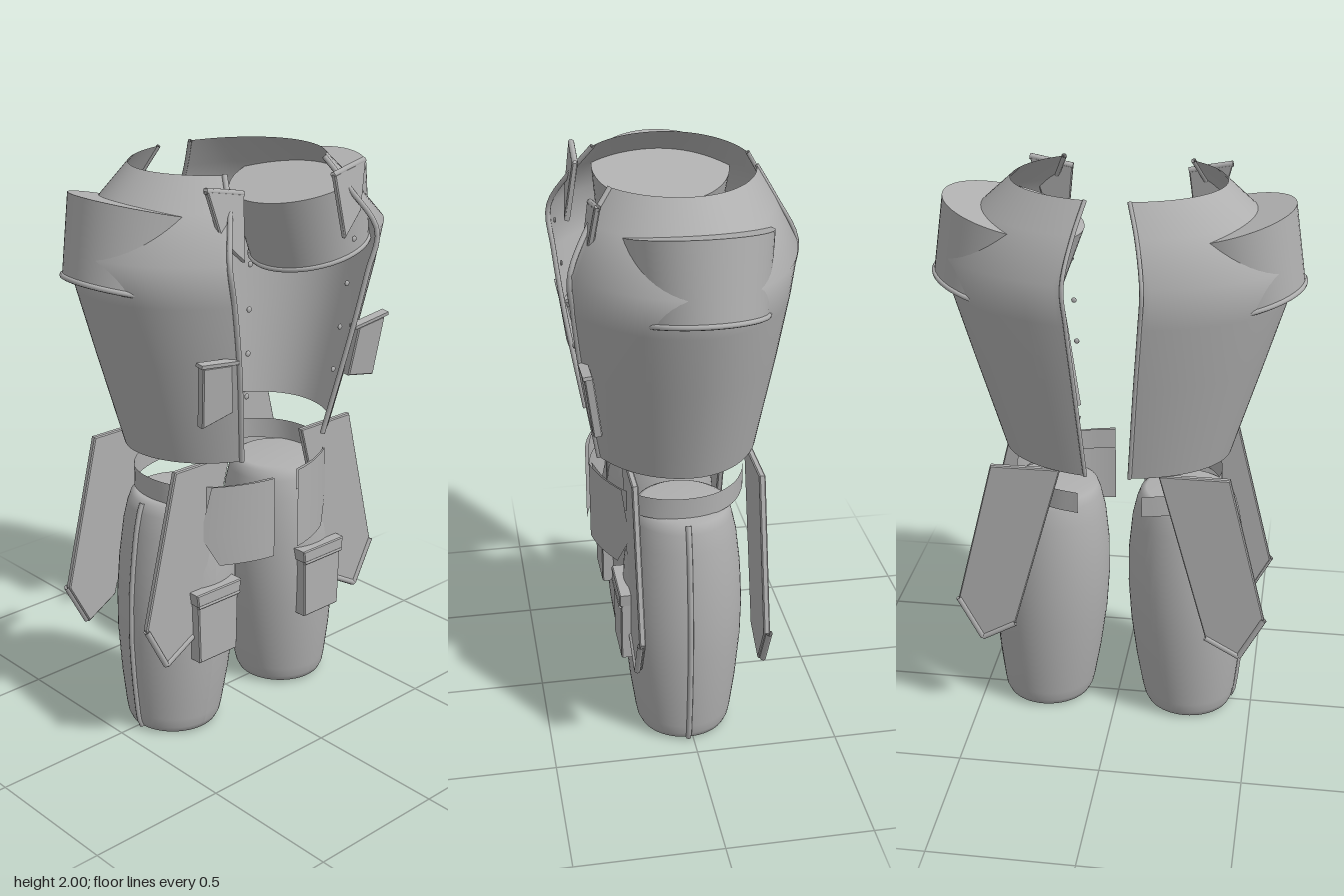
import * as THREE from 'three';

const V = (x, y, z) => new THREE.Vector3(x, y, z);

export function createModel() {
  const cloth = new THREE.MeshStandardMaterial({ color: 0xb0b0b0, side: THREE.DoubleSide });
  cloth.name = 'plain grey cloth';

  const half = new THREE.Group();
  const add = (name, geo, parent = half) => {
    const m = new THREE.Mesh(geo, cloth);
    m.name = name;
    parent.add(m);
    return m;
  };

  // Smooth surface from a grid of points: columns run back to front, rows run upward
  const sheet = (cols, rows, at) => {
    const pos = [], idx = [];
    for (let j = 0; j <= rows; j++)
      for (let i = 0; i <= cols; i++) pos.push(...at(i / cols, j).toArray());
    for (let j = 0; j < rows; j++)
      for (let i = 0; i < cols; i++) {
        const a = j * (cols + 1) + i, c = a + cols + 1;
        idx.push(a, c, a + 1, a + 1, c, c + 1);
      }
    const g = new THREE.BufferGeometry();
    g.setAttribute('position', new THREE.Float32BufferAttribute(pos, 3));
    g.setIndex(idx);
    g.computeVertexNormals();
    return g;
  };

  // Flat plate cut from an outline in x, y
  const plate = (name, outline, depth, z, parent) => {
    const shape = new THREE.Shape(outline.map(([x, y]) => new THREE.Vector2(x, y)));
    const m = add(name, new THREE.ExtrudeGeometry(shape, {
      depth, bevelThickness: 0.004, bevelSize: 0.004, bevelOffset: -0.004, bevelSegments: 1,
    }), parent);
    m.position.z = z;
    return m;
  };

  // Rounded piping through a list of points
  const piping = (name, pts, r, parent) =>
    add(name, new THREE.TubeGeometry(
      pts.length > 2 ? new THREE.CatmullRomCurve3(pts) : new THREE.LineCurve3(...pts),
      pts.length > 2 ? 32 : 1, r, 8), parent);

  // Jacket side: height, half width, back depth, front depth, back edge x, front edge x
  const rings = [
    [1.05, 0.395, 0.282, 0.327, 0.075, 0.19],
    [1.4, 0.502, 0.345, 0.4, 0.1, 0.255],
    [1.62, 0.568, 0.38, 0.436, 0.117, 0.3],
    [1.76, 0.6, 0.396, 0.455, 0.125, 0.33],
    [1.9, 0.465, 0.325, 0.375, 0.1, 0.265],
    [2.0, 0.355, 0.265, 0.3, 0.07, 0.22],
  ];
  const onJacket = (u, j) => {
    const [y, rx, back, front, xb, xf] = rings[j];
    const t = THREE.MathUtils.lerp(-Math.acos(xb / rx), Math.acos(xf / rx), u);
    return V(rx * Math.cos(t), y, (t < 0 ? back : front) * Math.sin(t));
  };
  add('jacketSide', sheet(48, rings.length - 1, onJacket));
  piping('jacketFrontEdge', rings.map((_, j) => onJacket(1, j)), 0.009);
  piping('jacketBackEdge', rings.map((_, j) => onJacket(0, j)), 0.007);

  // Short sleeve, a tilted tapered drum through the shoulder
  const sleeve = new THREE.Group();
  sleeve.name = 'sleeve';
  sleeve.position.set(0.38, 1.755, -0.015);
  sleeve.rotation.z = 0.25;
  half.add(sleeve);
  add('sleeveDrum', new THREE.CylinderGeometry(0.24, 0.213, 0.265, 56), sleeve);
  const hem = add('sleeveHem', new THREE.TorusGeometry(0.213, 0.009, 8, 56), sleeve);
  hem.rotation.x = Math.PI / 2;
  hem.position.y = -0.13;

  // Buttons down the front
  for (let i = 0; i < 4; i++) {
    const b = add('button', new THREE.SphereGeometry(0.01, 12, 8));
    b.scale.z = 0.5;
    b.position.set(0.2 + i * 0.011, 1.29 + i * 0.152, 0.32 + i * 0.016);
  }

  // Collar lapel
  const lapel = new THREE.Group();
  lapel.name = 'collarLapel';
  lapel.position.set(0, 1.86, 0.31);
  lapel.rotation.x = -0.15;
  half.add(lapel);
  plate('lapelPlate', [[0.225, -0.12], [0.31, -0.04], [0.35, 0.12], [0.2, 0.09]], 0.012, -0.006, lapel);
  piping('lapelEdge', [V(0.2, 0.09, 0), V(0.35, 0.12, 0)], 0.011, lapel);

  // Chest pocket with its flap
  const chest = new THREE.Group();
  chest.name = 'chestPocket';
  chest.position.set(0, 1.34, 0.315);
  chest.rotation.x = 0.13;
  half.add(chest);
  plate('chestPocketBody', [[0.268, -0.085], [0.395, -0.11], [0.415, 0.105], [0.29, 0.09]], 0.022, 0, chest);
  const chestFlap = add('chestPocketFlap', new THREE.BoxGeometry(0.16, 0.012, 0.03), chest);
  chestFlap.position.set(0.347, 0.104, 0.015);
  chestFlap.rotation.z = 0.13;

  // Trouser leg
  const legProfile = [[0, 0.005], [0.13, 0.005], [0.155, 0.014], [0.165, 0.035], [0.172, 0.07], [0.19, 0.2],
    [0.205, 0.36], [0.209, 0.5], [0.203, 0.64], [0.188, 0.77], [0.172, 0.84], [0.16, 0.872], [0.14, 0.883], [0, 0.883]];
  const leg = add('trouserLeg', new THREE.LatheGeometry(legProfile.map(p => new THREE.Vector2(...p)), 56));
  const lean = y => 0.266 - 0.028 * Math.min(1, y / 0.7);
  const lp = leg.geometry.attributes.position;
  for (let i = 0; i < lp.count; i++) lp.setX(i, lp.getX(i) + lean(lp.getY(i)));
  leg.geometry.computeVertexNormals();
  leg.position.z = 0.012;
  piping('legSideSeam', legProfile.slice(2, -2).map(([r, y]) => V(r + lean(y), y, 0.018)), 0.01);

  // Leg pocket with its flap
  const pocket = new THREE.Group();
  pocket.name = 'legPocket';
  half.add(pocket);
  plate('legPocketBody', [[0.168, 0.325], [0.338, 0.325], [0.345, 0.575], [0.162, 0.575]], 0.06, 0.178, pocket);
  plate('legPocketFlap', [[0.158, 0.545], [0.348, 0.545], [0.354, 0.59], [0.152, 0.59]], 0.066, 0.178, pocket);
  piping('legPocketLip', [V(0.16, 0.543, 0.243), V(0.347, 0.543, 0.243)], 0.007, pocket);

  // Hip belt, wrapping from back to front
  const hip = new THREE.CatmullRomCurve3([
    [0.11, -0.228], [0.19, -0.207], [0.28, -0.16], [0.345, -0.08], [0.365, 0.02], [0.345, 0.12],
    [0.275, 0.21], [0.17, 0.268], [0.055, 0.297],
  ].map(([x, z]) => V(x, 0, z)));
  add('hipBelt', sheet(40, 1, (u, j) => hip.getPointAt(u).setY(j ? 0.957 : 0.88)));

  // Curved front flap hanging from the belt
  const flapRows = [[0.667, 0.245], [0.78, 0.3], [0.957, 0.268]];
  add('frontHipFlap', sheet(16, 2, (u, j) => {
    const [y, outer] = flapRows[j];
    const x = THREE.MathUtils.lerp(outer, 0.055, u);
    const s = (x - 0.055) / 0.22;
    return V(x, y, 0.307 - 0.03 * s - 0.058 * s * s);
  }));

  // Coat tails, one before and one behind the leg
  const tail = [[0.34, 0.42], [0.46, 0.352], [0.543, 0.51], [0.41, 1.045], [0.168, 1.045]];
  for (const [name, z, out] of [['frontCoatTail', 0.197, 1], ['backCoatTail', -0.228, -1]]) {
    const g = new THREE.Group();
    g.name = name;
    g.position.z = z;
    half.add(g);
    plate(name + 'Plate', tail, 0.014, -0.007, g);
    for (let i = 0; i < 2; i++)
      piping(name + 'Hem', [0, 1].map(k => V(...tail[i + k], out * 0.008)), 0.011, g);
  }

  // Left half and its mirror image
  const model = new THREE.Group();
  half.name = 'leftHalf';
  const other = half.clone();
  other.name = 'rightHalf';
  other.scale.x = -1;
  model.add(half, other);
  return model;
}
